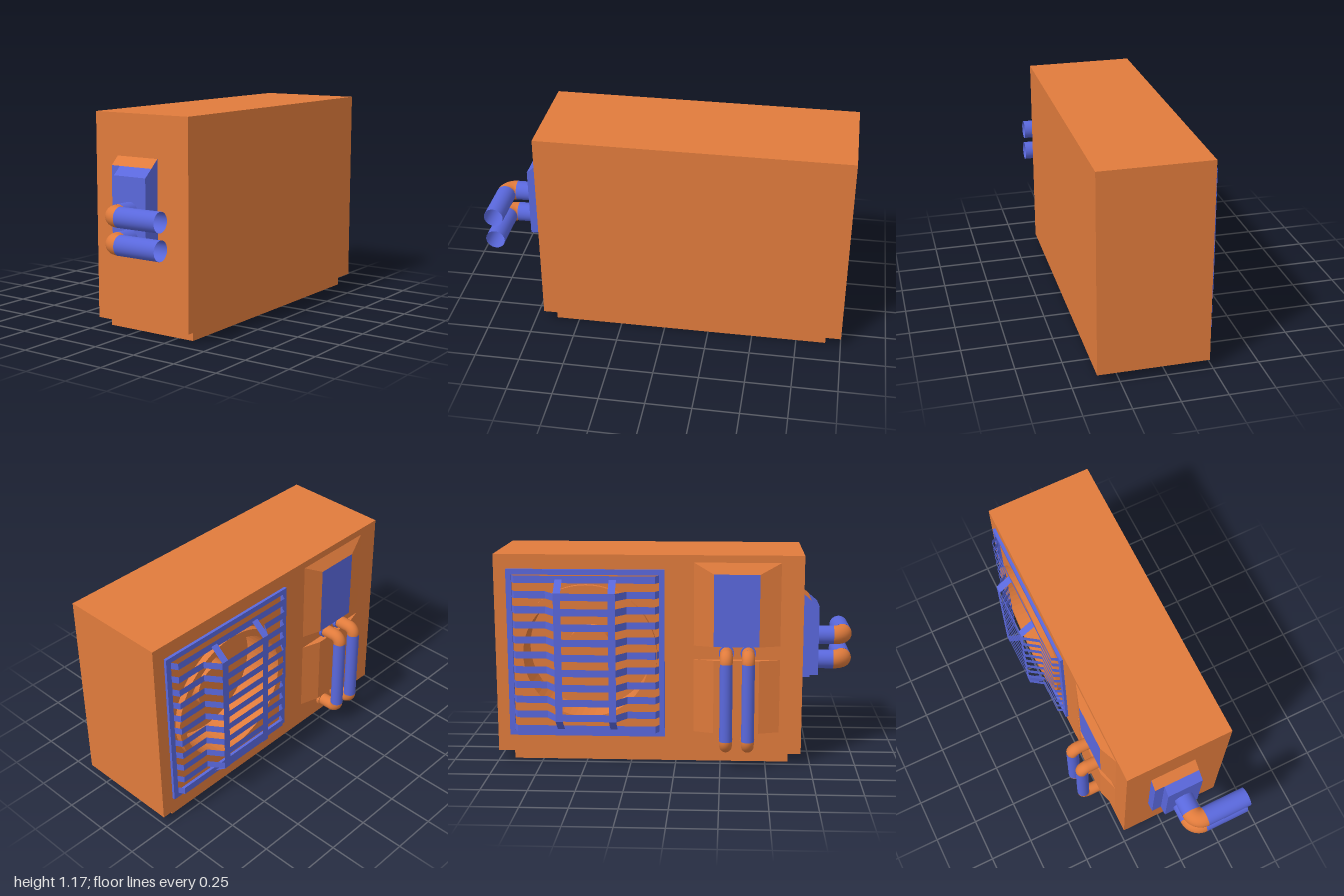
import * as THREE from 'three';

const orange = new THREE.MeshStandardMaterial({ color: 0xe07b3c, side: THREE.DoubleSide });
const blue = new THREE.MeshStandardMaterial({ color: 0x5a68dc, side: THREE.DoubleSide });

export function createModel() {
  const model = new THREE.Group();

  const add = (name, geometry, material, x = 0, y = 0, z = 0, parent = model) => {
    const mesh = new THREE.Mesh(geometry, material);
    mesh.name = name;
    mesh.position.set(x, y, z);
    parent.add(mesh);
    return mesh;
  };
  const group = (name) => {
    const g = new THREE.Group();
    g.name = name;
    model.add(g);
    return g;
  };
  // Box between two corners; an optional rule reshapes its vertices
  const block = (name, a, b, material, rule, parent) => {
    const lo = new THREE.Vector3(...a), hi = new THREE.Vector3(...b);
    const size = hi.clone().sub(lo), mid = hi.clone().add(lo).multiplyScalar(0.5);
    const geo = new THREE.BoxGeometry(size.x, size.y, size.z).translate(mid.x, mid.y, mid.z);
    if (rule) {
      const p = geo.attributes.position, v = new THREE.Vector3();
      for (let i = 0; i < p.count; i++) {
        rule(v.fromBufferAttribute(p, i));
        p.setXYZ(i, v.x, v.y, v.z);
      }
      geo.computeVertexNormals();
    }
    return add(name, geo, material, 0, 0, 0, parent);
  };
  const rect = (z0, z1, y0, y1, Type = THREE.Shape) => new Type([
    [z0, y0], [z1, y0], [z1, y1], [z0, y1]].map(([z, y]) => new THREE.Vector2(z, y)));
  const circle = (z, y, r, Type = THREE.Path) => new Type().absarc(z, y, r, 0, Math.PI * 2);
  // Outline in the z-y plane, extruded from x0 towards -x
  const sidePanel = (name, shape, hole, x0, depth, material, parent) => {
    shape.holes.push(hole);
    const geo = new THREE.ExtrudeGeometry(shape, { depth, bevelEnabled: false, curveSegments: 32 });
    return add(name, geo.rotateY(-Math.PI / 2), material, x0, 0, 0, parent);
  };
  // Flat ribbon along a polyline; width is the offset to each side
  const ribbon = (name, points, width, parent) => {
    const pos = [];
    for (let i = 0; i < points.length - 1; i++) {
      const [a, b] = [points[i], points[i + 1]].map((p) => new THREE.Vector3(...p));
      const corners = [a.clone().sub(width), b.clone().sub(width), b.clone().add(width), a.clone().add(width)];
      for (const k of [0, 1, 2, 0, 2, 3]) pos.push(...corners[k].toArray());
    }
    const geo = new THREE.BufferGeometry();
    geo.setAttribute('position', new THREE.Float32BufferAttribute(pos, 3));
    geo.computeVertexNormals();
    add(name, geo, blue, 0, 0, 0, parent);
  };
  const pipe = (r, length, axis) => {
    const geo = new THREE.CylinderGeometry(r, r, length, 32, 1, true);
    if (axis === 'x') geo.rotateZ(Math.PI / 2);
    if (axis === 'z') geo.rotateX(Math.PI / 2);
    return geo;
  };
  const elbow = (r, start) => new THREE.TorusGeometry(r * 1.03, r, 24, 16, Math.PI / 2).rotateZ(start);

  // Cabinet with a round fan well in its side, on a plinth
  const fanZ = -0.49, fanY = 0.617;
  block('cabinet', [-0.03, 0.055, -1], [0.37, 1.17, 0.7], orange);
  sidePanel('fanSide', rect(-1, 0.7, 0.055, 1.17), circle(fanZ, fanY, 0.35), -0.03, 0.2, orange);
  block('plinth', [-0.2, 0, -0.915], [0.345, 0.055, 0.63], orange);
  sidePanel('fanRing', circle(fanZ, fanY, 0.39, THREE.Shape), circle(fanZ, fanY, 0.35), -0.23, 0.035, orange);
  add('fanHub', new THREE.CylinderGeometry(0.13, 0.13, 0.1, 32).rotateZ(Math.PI / 2), orange, -0.08, fanY, fanZ);

  // Bulging fan guard
  const guard = group('fanGuard');
  sidePanel('guardFrame', rect(-0.93, -0.06, 0.15, 1.09), rect(-0.9, -0.09, 0.18, 1.06, THREE.Path),
    -0.23, 0.016, blue, guard);
  for (let i = 0; i < 11; i++) {
    const y = 0.197 + i * 0.0842;
    const bulge = i > 0 && i < 10 ? [[-0.355, y, -0.655], [-0.355, y, -0.32]] : [];
    ribbon('guardBar', [
      [-0.24, y, -0.9], [-0.277, y, -0.88], [-0.277, y, -0.71], ...bulge,
      [-0.277, y, -0.265], [-0.277, y, -0.11], [-0.24, y, -0.09],
    ], new THREE.Vector3(0, 0.02, 0), guard);
  }
  for (const z of [-0.635, -0.34]) {
    ribbon('guardPost', [
      [-0.279, 1.04, z], [-0.357, 0.975, z], [-0.357, 0.26, z], [-0.279, 0.197, z],
    ], new THREE.Vector3(0, 0, 0.02), guard);
  }

  // Raised side covers, tapering outwards
  const taper = (slopeTop) => (v) => {
    if (v.x > -0.25) return;
    v.z = v.z < 0.3 ? 0.21 : 0.46;
    if (slopeTop && v.y > 1) v.y = 1.07;
  };
  block('upperSideCover', [-0.265, 0.67, 0.1], [-0.23, 1.13, 0.575],
    [orange, blue, orange, orange, orange, orange], taper(true));
  block('lowerSideCover', [-0.265, 0.18, 0.1], [-0.23, 0.593, 0.575], orange, taper(false));

  // Pair of looped side pipes
  for (const z of [0.28, 0.4]) {
    const g = group('sidePipe');
    const r = 0.035;
    add('riser', pipe(r, 0.435, 'y'), blue, -0.351, 0.3775, z, g);
    add('upperElbow', elbow(r, Math.PI / 2), orange, -0.315, 0.595, z, g);
    add('lowerElbow', elbow(r, Math.PI), orange, -0.315, 0.16, z, g);
    add('upperInlet', pipe(r, 0.085, 'x'), orange, -0.2725, 0.631, z, g);
    add('lowerInlet', pipe(r, 0.085, 'x'), orange, -0.2725, 0.124, z, g);
    const collar = new THREE.CylinderGeometry(0.042, 0.042, 0.018, 32).rotateZ(Math.PI / 2);
    add('upperCollar', collar, blue, -0.239, 0.631, z, g);
    add('lowerCollar', collar, orange, -0.239, 0.124, z, g);
  }

  // Front connection cover in two sloped steps
  block('coverBase', [-0.085, 0.463, 0.7], [0.175, 0.945, 0.75],
    [blue, blue, orange, blue, blue, blue], (v) => { if (v.y > 0.9 && v.z > 0.72) v.y = 0.9; });
  block('coverFront', [-0.03, 0.463, 0.75], [0.175, 0.9, 0.8], blue,
    (v) => { if (v.y > 0.8 && v.z > 0.78) v.y = 0.857; });

  // Pair of open front pipes turning sideways
  for (const y of [0.675, 0.533]) {
    const g = group('frontPipe');
    const r = 0.0535, bend = r * 1.03;
    add('stub', pipe(r, 0.1, 'z'), blue, 0.072, y, 0.841, g);
    add('elbow', elbow(r, Math.PI / 2).rotateX(Math.PI / 2), orange, 0.072 + bend, y, 0.891, g);
    add('outlet', pipe(r, 0.382 - 0.072 - bend, 'x'), blue, (0.382 + 0.072 + bend) / 2, y, 0.891 + bend, g);
  }

  return model;
}
